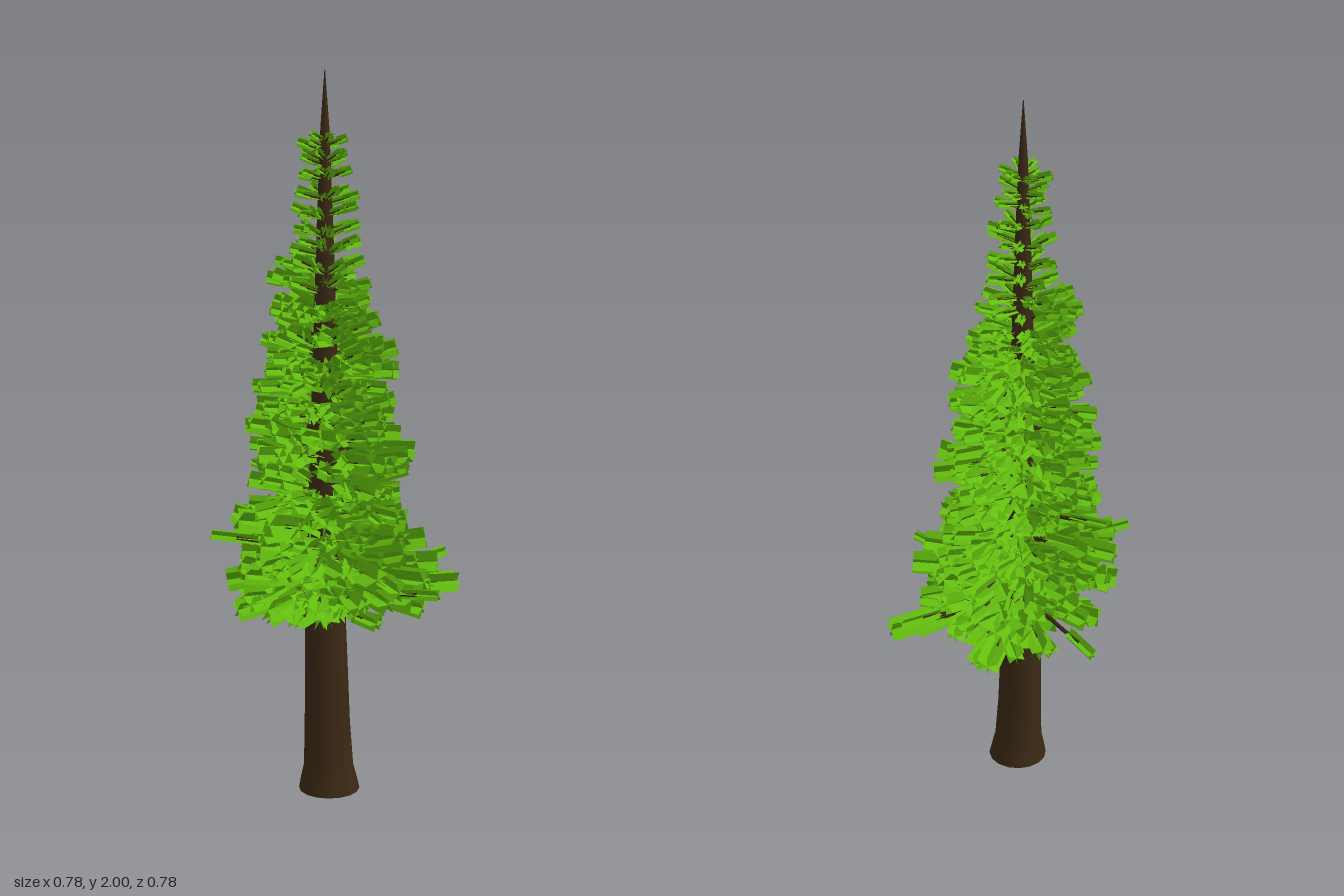
import * as THREE from 'three';
import { mergeGeometries } from 'three/addons/utils/BufferGeometryUtils.js';

const bark = new THREE.MeshStandardMaterial({ color: 0x3a2814, side: THREE.DoubleSide });
const needles = new THREE.MeshStandardMaterial({ color: 0x63bd0e, side: THREE.DoubleSide, flatShading: true });

let seed = 11;
const rand = (a = 0, b = 1) => {
  seed = (seed * 16807) % 2147483647;
  return a + (b - a) * (seed / 2147483647);
};
const V = (x, y, z) => new THREE.Vector3(x, y, z);

// Piecewise linear lookup of one column in rows that start with their key
function lookup(table, k, column = 1) {
  for (let i = 1; i < table.length; i++) {
    const a = table[i - 1], b = table[i];
    if (k <= b[0]) return THREE.MathUtils.lerp(a[column], b[column], Math.max(0, (k - a[0]) / (b[0] - a[0])));
  }
  return table[table.length - 1][column];
}

const trunkProfile = [[0, 0.086], [0.03, 0.08], [0.07, 0.07], [0.2, 0.064], [0.5, 0.057], [0.9, 0.044],
  [1.3, 0.032], [1.6, 0.022], [1.85, 0.012], [2, 0.001]];
const trunkZ = [[0, 0.005], [0.2, -0.003], [0.5, -0.01], [2, -0.01]];
const axis = (y) => V(-0.04, y, lookup(trunkZ, y));

// Crown radius by height: y, then towards +x, +z, -x, -z
const crown = [
  [0.5, 0.33, 0.22, 0.18, 0.2], [0.55, 0.36, 0.28, 0.27, 0.26], [0.62, 0.33, 0.32, 0.31, 0.27],
  [0.7, 0.28, 0.32, 0.28, 0.28], [0.78, 0.25, 0.25, 0.28, 0.28], [0.86, 0.22, 0.22, 0.25, 0.21],
  [0.95, 0.24, 0.25, 0.25, 0.2], [1.04, 0.22, 0.27, 0.26, 0.22], [1.1, 0.21, 0.2, 0.18, 0.22],
  [1.2, 0.21, 0.19, 0.19, 0.2], [1.3, 0.19, 0.2, 0.19, 0.2], [1.37, 0.15, 0.16, 0.16, 0.17],
  [1.47, 0.14, 0.11, 0.14, 0.16], [1.54, 0.11, 0.1, 0.1, 0.1], [1.7, 0.08, 0.1, 0.09, 0.09],
  [1.85, 0.05, 0.07, 0.06, 0.08]];
function crownReach(y, yaw) {
  const c = Math.cos(yaw), s = Math.sin(yaw);
  return c * c * lookup(crown, y, c > 0 ? 1 : 3) + s * s * lookup(crown, y, s > 0 ? 2 : 4);
}

// Unit sprig: three strips crossing along +z
const unitSprig = mergeGeometries([0, 1, 2].map((k) =>
  new THREE.PlaneGeometry(1, 1).rotateX(Math.PI / 2).translate(0, 0, 0.5).rotateZ(k * Math.PI / 3)));

function sprig(from, dir, length, width, roll = rand(-0.5, 0.5)) {
  const z = dir.clone().normalize();
  const x = V(0, 1, 0).cross(z).normalize();
  const y = z.clone().cross(x);
  const m = new THREE.Matrix4().makeBasis(x, y, z)
    .multiply(new THREE.Matrix4().makeRotationZ(roll))
    .scale(V(width, width, length)).setPosition(from);
  return unitSprig.clone().applyMatrix4(m);
}

const heading = (yaw, pitch) =>
  V(Math.cos(yaw) * Math.cos(pitch), Math.sin(pitch), Math.sin(yaw) * Math.cos(pitch));

// Thin curved limb
function limb(from, to, radius) {
  const mid = from.clone().lerp(to, 0.5);
  mid.y -= from.distanceTo(to) * 0.06;
  return new THREE.TubeGeometry(new THREE.QuadraticBezierCurve3(from, mid, to), 4, radius, 5);
}

// A limb with a tip sprig and splayed side sprigs
function branch(y, yaw, pitch, reach, wood, leaves) {
  const start = axis(y);
  const dir = heading(yaw, pitch);
  const size = reach / 0.3;
  const width = 0.01 + 0.055 * size * rand(0.75, 1.25);
  const at = (t) => start.clone().addScaledVector(dir, reach * t);
  wood.push(limb(start, at(0.75), 0.003 + 0.004 * size));
  leaves.push(sprig(at(0.55), dir, reach * 0.45, width));
  if (reach < 0.13) {
    leaves.push(sprig(at(0.2), dir, reach * 0.5, width * 0.7));
    return;
  }
  for (const t of [0.28, 0.5]) {
    for (const side of [-1, 1]) {
      const d = heading(yaw + side * rand(0.3, 0.75), pitch + rand(-0.25, 0.25));
      leaves.push(sprig(at(t), d, reach * rand(0.35, 0.45), width * rand(0.7, 1)));
    }
  }
}

export function createModel() {
  const tree = new THREE.Group();
  tree.name = 'conifer';
  const add = (name, geometry, material) => {
    const mesh = new THREE.Mesh(geometry, material);
    mesh.name = name;
    tree.add(mesh);
  };

  // Flared, tapering trunk, open underneath
  const trunk = new THREE.LatheGeometry(trunkProfile.map(([y, r]) => new THREE.Vector2(r, y)), 16);
  const p = trunk.attributes.position;
  for (let i = 0; i < p.count; i++) {
    const c = axis(p.getY(i));
    p.setXYZ(i, p.getX(i) + c.x, p.getY(i), p.getZ(i) + c.z);
  }
  trunk.computeVertexNormals();
  add('trunk', trunk, bark);

  // Whorls of branches, smaller towards the top
  const wood = [];
  let level = 0;
  for (let y = 0.55; y < 1.85; y += 0.047) {
    const leaves = [];
    const count = y < 0.8 ? 11 : y < 1.35 ? 9 : 8;
    const scatter = y < 1.4 ? 0.024 : 0.014;
    for (let i = 0; i < count; i++) {
      const yaw = (i + rand(-0.4, 0.4)) / count * Math.PI * 2 + level * 2.4;
      const pitch = y > 1.3 ? rand(0.1, 0.4) : y < 0.62 ? rand(-0.2, 0.12) : rand(-0.08, 0.32);
      const tipY = y + rand(-scatter, scatter);
      const length = crownReach(tipY, yaw) * rand(0.78, 1.04);
      branch(tipY - Math.sin(pitch) * length * 0.75, yaw, pitch, length, wood, leaves);
    }
    add('foliageWhorl' + ++level, mergeGeometries(leaves), needles);
  }

  // Long stray branches reaching past the crown: tip x, y, z and sprig width
  const strays = [];
  for (const [x, y, z, w] of [[0.095, 0.58, -0.39, 0.032], [0.385, 0.63, 0.05, 0.032], [-0.38, 0.6, 0.25, 0.034],
    [0, 0.63, 0.385, 0.03], [-0.04, 0.9, -0.32, 0.025], [0.25, 0.72, -0.22, 0.025], [-0.31, 0.75, -0.18, 0.03],
    [0.35, 0.56, 0.13, 0.065], [-0.35, 0.6, 0.1, 0.065]]) {
    const tip = V(x, y, z);
    const root = axis(Math.max(0.58, y - 0.05));
    const dir = tip.clone().sub(root).normalize();
    const base = tip.clone().addScaledVector(dir, -0.13);
    wood.push(limb(root, base.clone().addScaledVector(dir, 0.06), 0.006));
    strays.push(sprig(base, dir, 0.13, w, 0));
  }
  add('strayFoliage', mergeGeometries(strays), needles);
  add('branches', mergeGeometries(wood), bark);
  return tree;
}
